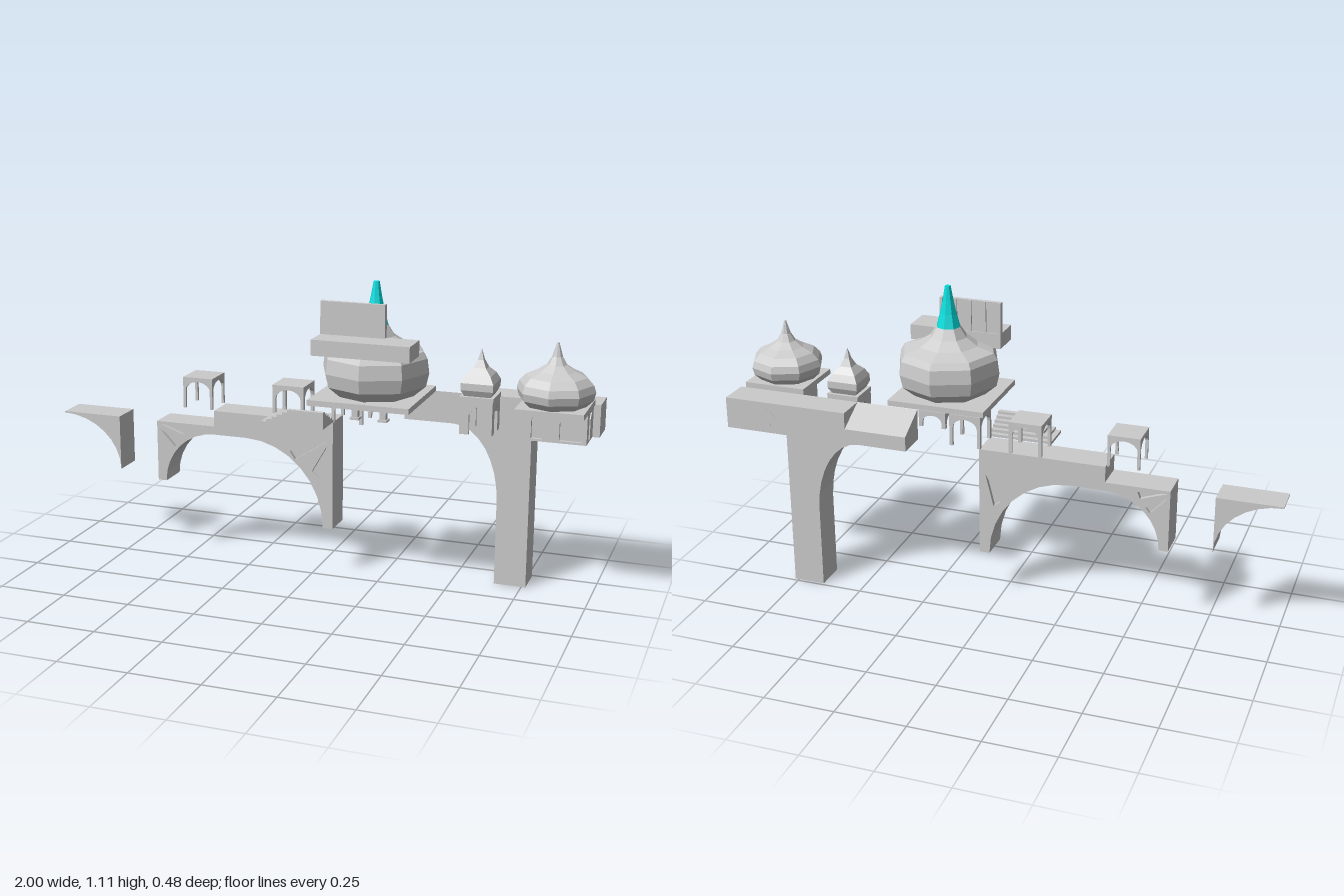
import * as THREE from 'three';

const stone = new THREE.MeshStandardMaterial({ color: 0xcccccc, flatShading: true, side: THREE.DoubleSide });
const cyan = new THREE.MeshStandardMaterial({ color: 0x00dddd, flatShading: true, side: THREE.DoubleSide });

export function createModel() {
  const model = new THREE.Group();

  function add(name, geometry, parent = model, material = stone) {
    const mesh = new THREE.Mesh(geometry, material);
    mesh.name = name;
    parent.add(mesh);
    return mesh;
  }
  // box given by its limits
  function box(name, x0, x1, y0, y1, z0, z1, parent) {
    const m = add(name, new THREE.BoxGeometry(x1 - x0, y1 - y0, z1 - z0), parent);
    m.position.set((x0 + x1) / 2, (y0 + y1) / 2, (z0 + z1) / 2);
    return m;
  }
  const shapeOf = pts => new THREE.Shape(pts.map(p => new THREE.Vector2(...p)));
  // front outline extruded between two depths
  function slab(name, shape, z0, z1, parent) {
    const g = new THREE.ExtrudeGeometry(shape, { depth: z1 - z0, bevelEnabled: false, curveSegments: 8 });
    g.translate(0, 0, z0);
    return add(name, g, parent);
  }
  // points along an elliptical arc, angles in quarter turns
  function arc(cx, cy, rx, ry, a0, a1, n = 8) {
    return Array.from({ length: n + 1 }, (_, i) => {
      const a = (a0 + (a1 - a0) * i / n) * Math.PI / 2;
      return [cx + rx * Math.cos(a), cy + ry * Math.sin(a)];
    });
  }
  function dome(name, profile, x, z, sides, turn = 0, material = stone) {
    const g = new THREE.LatheGeometry(profile.map(p => new THREE.Vector2(...p)), sides);
    g.rotateY(turn);
    add(name, g, model, material).position.set(x, 0, z);
  }
  // pavilion with an arched opening on each side
  function kiosk(name, x0, x1, z0, z1, y0, y1, pier, pointed = false) {
    const group = new THREE.Group();
    group.name = name;
    group.position.set((x0 + x1) / 2, 0, (z0 + z1) / 2);
    model.add(group);
    const wall = (w, d, turn) => {
      const r = w / 2 - pier, spring = pointed ? y1 - 0.045 : y1 - 0.015 - r * 0.75;
      const top = pointed ? [[r, spring], [r * 0.6, y1 - 0.03], [0, y1 - 0.015], [-r * 0.6, y1 - 0.03], [-r, spring]]
        : arc(0, spring, r, r * 0.75, 0, 2);
      const shape = shapeOf([[w / 2, y0], [w / 2, y1], [-w / 2, y1], [-w / 2, y0], [-r, y0],
        ...top.reverse(), [r, y0]]);
      const side = slab('archedWall', shape, d / 2 - 0.01, d / 2, group);
      side.rotation.y = turn * Math.PI / 2;
    };
    const w = x1 - x0, d = z1 - z0;
    for (let k = 0; k < 4; k++) wall(k % 2 ? d : w, k % 2 ? w : d, k);
    box('roof', -w / 2, w / 2, y1 - 0.012, y1, -d / 2, d / 2, group);
  }

  const zb = -0.125, zf = -0.01;

  // broken arch fragment at the far end
  slab('archFragment', shapeOf([[-0.77, 0.52], [-1, 0.52], ...arc(-1, 0.315, 0.23, 0.2, 1, 0)]), zb, zf);

  // main bridge: solid core with pierced outer skins, giving sunken triangles
  const bridge = shapeOf([[0.075, 0.175], [0.075, 0.577], [-0.385, 0.577], [-0.385, 0.518], [-0.615, 0.518],
    [-0.615, 0.29], ...arc(-0.385, 0.29, 0.197, 0.197, 2, 1), ...arc(-0.26, 0.175, 0.298, 0.312, 1, 0)]);
  const skin = bridge.clone();
  [
    [[0.05, 0.5], [-0.09, 0.455], [-0.07, 0.425]], [[0.052, 0.485], [-0.005, 0.385], [0.022, 0.365]],
    [[-0.605, 0.508], [-0.5, 0.5], [-0.51, 0.475]], [[-0.605, 0.49], [-0.545, 0.425], [-0.53, 0.445]],
  ].forEach(t => skin.holes.push(new THREE.Path(t.map(p => new THREE.Vector2(...p)))));
  slab('bridgeCore', bridge, zb + 0.015, zf - 0.015);
  slab('bridgeBackFace', skin, zb, zb + 0.015);
  slab('bridgeFrontFace', skin, zf - 0.015, zf);

  // open kiosks along the bridge
  kiosk('endKiosk', -0.505, -0.39, zb, zf, 0.58, 0.695, 0.008);
  kiosk('stairKiosk', -0.155, -0.035, zb, zf, 0.577, 0.695, 0.012);
  kiosk('archUnderPlatform', 0.07, 0.185, zb, zf, 0.577, 0.695, 0.012);
  kiosk('smallArchUnderPlatform', 0.2, 0.3, zb, zf, 0.635, 0.695, 0.014);

  // corner stair rising toward the platform
  for (let i = 0; i < 6; i++)
    box('stairStep', -0.155 + i * 0.02, 0.078, 0.58 + i * 0.01, 0.59 + i * 0.01, -0.01 + i * 0.019, 0.103);

  // central platform and great dome
  box('centralPlatform', 0.06, 0.42, 0.695, 0.715, -0.122, 0.22);
  [0.205, 0.305].forEach(x => {
    box('bracketColumn', x - 0.011, x + 0.011, 0.645, 0.695, 0.116, 0.138);
    box('bracketFoot', x - 0.016, x + 0.016, 0.638, 0.646, 0.11, 0.144);
  });
  dome('greatDome', [[0, 0.715], [0.137, 0.715], [0.18, 0.752], [0.191, 0.8], [0.184, 0.85], [0.17, 0.873],
    [0.11, 0.892], [0.068, 0.92], [0.044, 0.957]], 0.25, 0.048, 8);
  dome('greatSpire', [[0.044, 0.957], [0.031, 1.005], [0.02, 1.055], [0.011, 1.105], [0, 1.105]], 0.25, 0.048, 8, 0, cyan);

  // block and upright panel in front of the dome
  box('frontBlock', 0.075, 0.42, 0.87, 0.925, 0.105, 0.22);
  box('uprightPanel', 0.075, 0.305, 0.925, 1.04, 0.11, 0.125);
  for (let i = 0; i < 5; i++) box('panelRib', 0.075 + i * 0.055, 0.085 + i * 0.055, 0.925, 1.04, 0.104, 0.111);

  // right causeway: deck, tall pier with curved haunch, sloping end
  const pier = shapeOf([[0.765, 0], [0.765, 0.58], [1, 0.58], [1, 0.695], [0.535, 0.695], [0.535, 0.585],
    [0.485, 0.585], ...arc(0.485, 0.31, 0.165, 0.272, 1, 0), [0.65, 0]]);
  slab('causewayPier', pier, -0.24, zb);
  const slope = new THREE.ExtrudeGeometry(
    shapeOf([[0.125, 0.582], [0.24, 0.582], [0.24, 0.635], [0.125, 0.695]]), { depth: 0.23, bevelEnabled: false });
  slope.rotateY(Math.PI / 2);
  slope.translate(0.305, 0, 0);
  add('slopingDeck', slope);
  const diamond = add('diamondRelief', new THREE.CylinderGeometry(0.04, 0.04, 0.004, 4));
  diamond.rotation.x = Math.PI / 2;
  diamond.position.set(0.84, 0.638, -0.24);

  // small square dome on its pavilion
  kiosk('smallPavilion', 0.535, 0.65, zb, zf, 0.58, 0.695, 0.033, true);
  box('smallPlatform', 0.533, 0.652, 0.695, 0.713, -0.127, -0.01);
  const s = Math.SQRT2;
  dome('smallDome', [[0, 0.713], [0.046 * s, 0.713], [0.057 * s, 0.735], [0.057 * s, 0.76], [0.044 * s, 0.785],
    [0.022 * s, 0.808], [0.01 * s, 0.835], [0, 0.875]], 0.593, -0.068, 4, Math.PI / 4);

  // side dome on its hall, with sunken pointed windows
  const hall = shapeOf([[0.75, 0.58], [0.975, 0.58], [0.975, 0.695], [0.75, 0.695]]);
  [[0.805, 0.02], [0.92, 0.038]].forEach(([x, h]) => hall.holes.push(new THREE.Path(
    [[x - h, 0.588], [x + h, 0.588], [x + h, 0.652], [x + h * 0.6, 0.668], [x, 0.68], [x - h * 0.6, 0.668], [x - h, 0.652]]
      .map(p => new THREE.Vector2(...p)))));
  slab('hallFront', hall, -0.022, zf);
  box('hallBody', 0.75, 0.975, 0.58, 0.695, zb, -0.022);
  const sideWindow = shapeOf([[-0.02, 0.59], [0.02, 0.59], [0.02, 0.665], [0, 0.682], [-0.02, 0.665]]);
  const windowMesh = slab('sideWindow', sideWindow, 0, 0.004);
  windowMesh.rotation.y = Math.PI / 2;
  windowMesh.position.set(0.975, 0, -0.067);
  box('sidePlatform', 0.748, 0.98, 0.695, 0.715, zb, 0.1);
  dome('sideDome', [[0, 0.715], [0.104, 0.715], [0.127, 0.738], [0.134, 0.765], [0.126, 0.79], [0.104, 0.814],
    [0.065, 0.832], [0.034, 0.853], [0.018, 0.88], [0.004, 0.927], [0, 0.927]], 0.865, -0.01, 8);

  return model;
}
